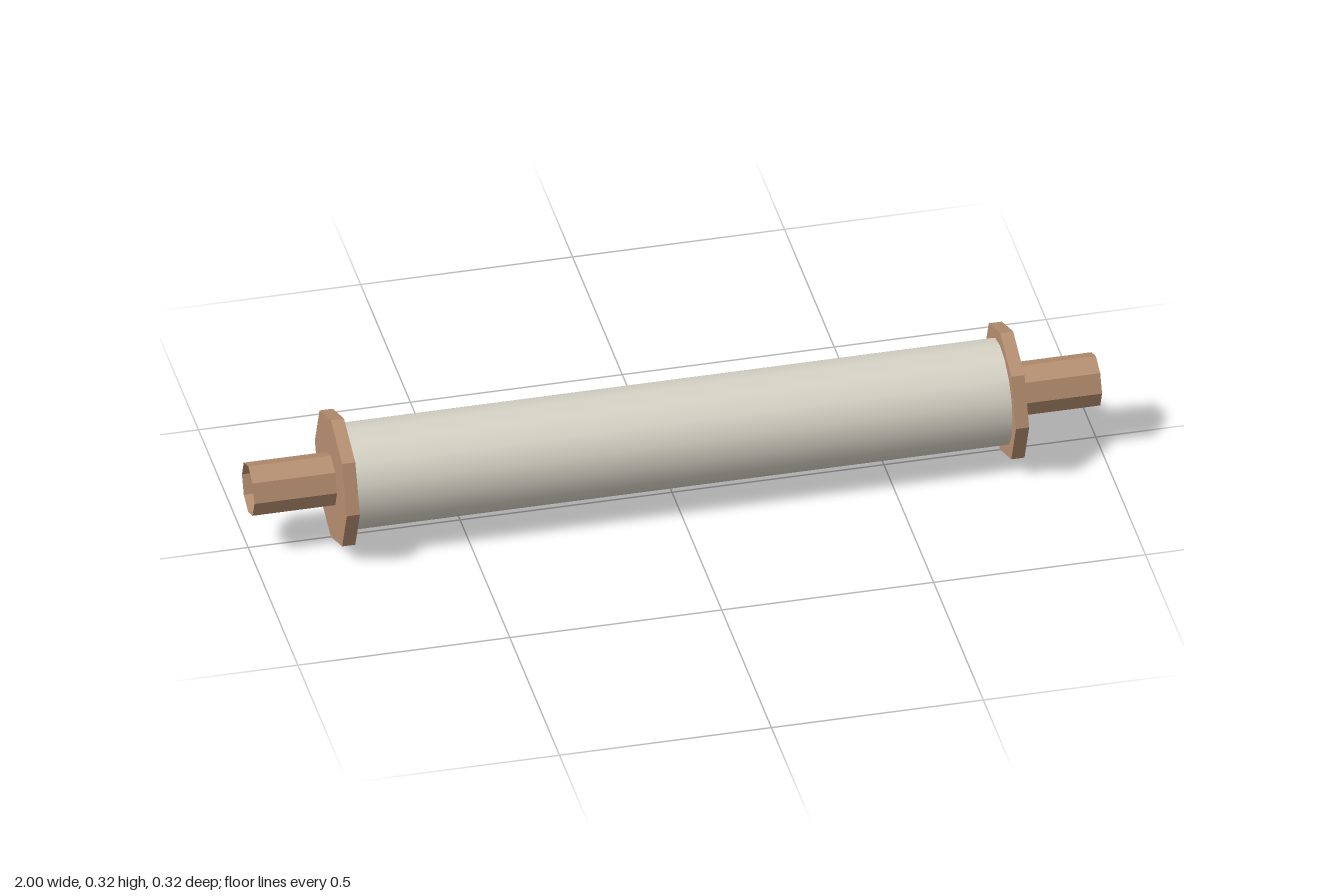
import * as THREE from 'three';

export function createModel() {
  const group = new THREE.Group();
  const AXIS_Y = 0.162;

  const wood = new THREE.MeshStandardMaterial({ color: 0xb58e70, flatShading: true, side: THREE.DoubleSide });
  wood.name = 'wood';
  const paper = new THREE.MeshStandardMaterial({ color: 0xd8d4c7 });
  paper.name = 'paper';

  // Cylinder lying along x, with a corner pointing straight up
  function bar(name, radius, x0, x1, sides, material, open = false) {
    const geometry = new THREE.CylinderGeometry(radius, radius, x1 - x0, sides, 1, open);
    geometry.rotateZ(-Math.PI / 2);
    const mesh = new THREE.Mesh(geometry, material);
    mesh.name = name;
    mesh.position.set((x0 + x1) / 2, AXIS_Y, 0);
    group.add(mesh);
  }

  // Smooth roll between the two end discs
  bar('roll', 0.126, -0.776, 0.776, 16, paper);

  // Octagonal end discs and hollow, open-ended handles
  for (const [side, s] of [['left', 1], ['right', -1]]) {
    const span = (a, b) => (s > 0 ? [a, b] : [-b, -a]);
    bar(side + 'EndDisc', 0.161, ...span(0.774, 0.805), 8, wood);
    bar(side + 'Handle', 0.063, ...span(0.805, 1), 8, wood, true);
  }

  return group;
}
